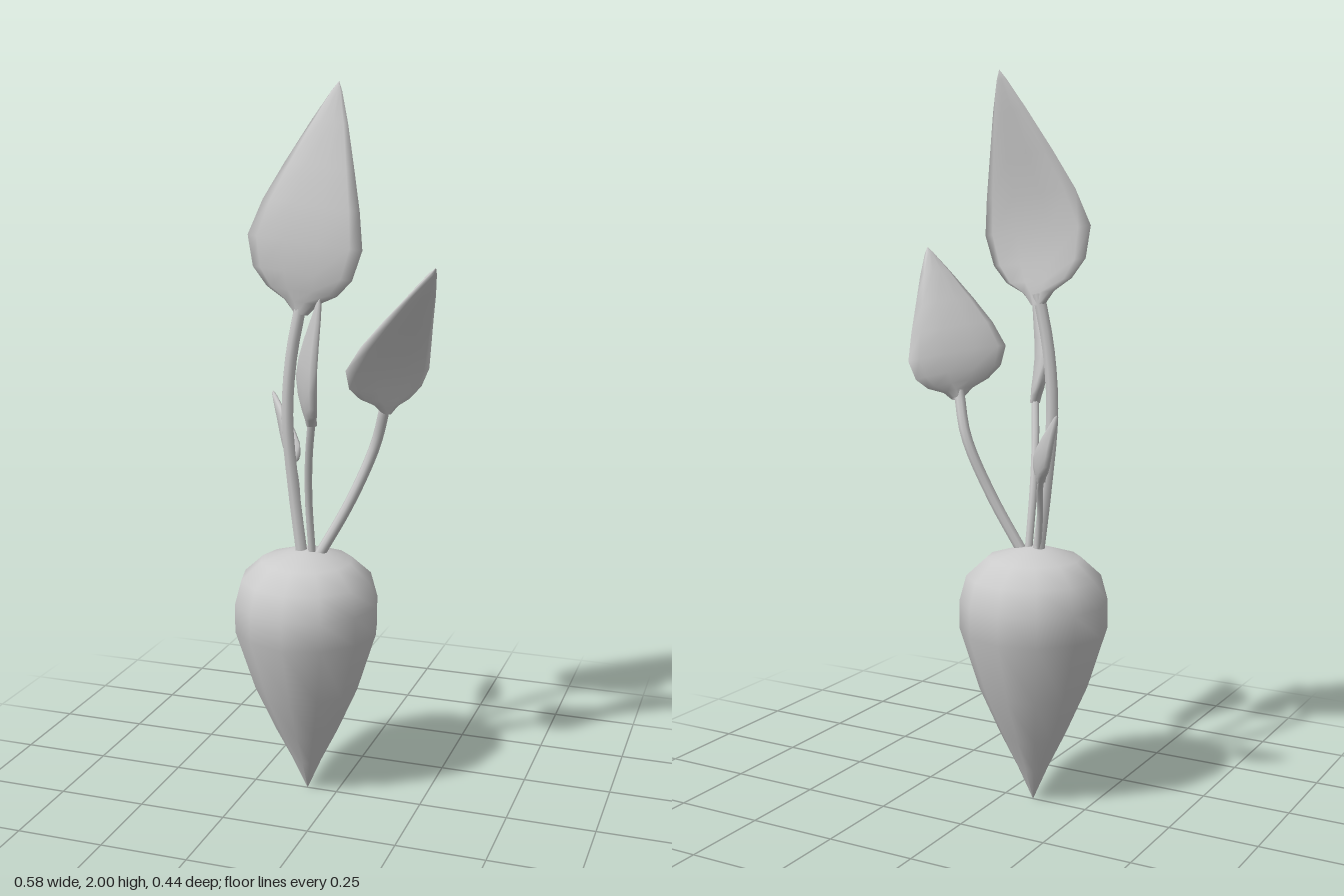
import * as THREE from 'three';

const material = new THREE.MeshStandardMaterial({ color: 0xcccccc, side: THREE.DoubleSide });
const V = (p) => new THREE.Vector3(...p);

function addMesh(group, name, geometry) {
  const mesh = new THREE.Mesh(geometry, material);
  mesh.name = name;
  group.add(mesh);
  return mesh;
}

// Leaf stations: position along the midrib, width factor, thickness factor
const STATIONS = [
  [0, 0.12, 0.8], [0.09, 0.3, 0.85], [0.17, 0.62, 0.95], [0.3, 0.87, 1], [0.5, 1, 1],
  [0.63, 0.84, 0.95], [0.75, 0.6, 0.85], [0.88, 0.31, 0.65], [0.97, 0.09, 0.4], [1, 0, 0],
];
const SIDES = 10;

// Lens-shaped sections lofted from the neck, past the two widest points, to the tip
function leafGeometry({ base, left, right, tip, thickness }) {
  const half = V(right).sub(V(left)).multiplyScalar(0.5);
  const middle = V(left).add(V(right)).multiplyScalar(0.5);
  const midrib = new THREE.CatmullRomCurve3([V(base), middle, V(tip)]);
  const normal = V(tip).sub(V(base)).cross(half).normalize();
  const positions = [], index = [];
  STATIONS.forEach(([t, width, depth], i) => {
    const center = midrib.getPoint(t);
    for (let j = 0; j < SIDES; j++) {
      const a = (j / SIDES) * Math.PI * 2;
      const p = center.clone()
        .addScaledVector(half, width * Math.cos(a))
        .addScaledVector(normal, thickness * depth * Math.sin(a));
      positions.push(p.x, p.y, p.z);
      if (i === 0) continue;
      const k = (j + 1) % SIDES, lo = (i - 1) * SIDES, hi = i * SIDES;
      index.push(lo + j, lo + k, hi + k, lo + j, hi + k, hi + j);
    }
  });
  const geometry = new THREE.BufferGeometry();
  geometry.setAttribute('position', new THREE.Float32BufferAttribute(positions, 3));
  geometry.setIndex(index);
  geometry.computeVertexNormals();
  return geometry;
}

const LEAVES = [
  { name: 'tallLeaf', radius: 0.017, thickness: 0.02,
    stem: [[-0.1, 0.7, 0], [-0.125, 0.9, 0], [-0.14, 1.1, 0.005], [-0.128, 1.27, 0.005], [-0.1, 1.42, 0]],
    base: [-0.1, 1.39, 0], left: [-0.25, 1.6, 0.005], right: [0.085, 1.57, 0.04], tip: [-0.01, 2, -0.053] },
  { name: 'leftLeaf', radius: 0.015, thickness: 0.018,
    stem: [[-0.06, 0.7, 0], [0.03, 0.87, -0.03], [0.095, 1.03, -0.052], [0.13, 1.15, -0.03]],
    base: [0.13, 1.13, -0.035], left: [0.065, 1.265, 0.118], right: [0.22, 1.235, -0.145], tip: [0.292, 1.537, 0.072] },
  { name: 'frontLeaf', radius: 0.011, thickness: 0.018,
    stem: [[-0.07, 0.7, 0], [-0.07, 0.88, 0.03], [-0.055, 1.01, 0.07], [-0.03, 1.13, 0.115]],
    base: [-0.032, 1.11, 0.11], left: [-0.085, 1.24, 0.068], right: [0.012, 1.22, 0.212], tip: [0.027, 1.465, 0.212] },
  { name: 'smallLeaf', radius: 0.009, thickness: 0.014,
    stem: [[-0.1, 0.7, 0], [-0.125, 0.83, -0.035], [-0.145, 0.9, -0.075], [-0.18, 0.96, -0.13]],
    base: [-0.175, 0.935, -0.125], left: [-0.24, 1.02, -0.2], right: [-0.148, 1.0, -0.11], tip: [-0.268, 1.13, -0.218] },
];

export function createModel() {
  const model = new THREE.Group();
  model.name = 'rootVegetable';

  // Tapered root body with a rounded shoulder
  const profile = [
    [0, 0.005], [0.042, 0.1], [0.092, 0.2], [0.15, 0.33], [0.204, 0.5],
    [0.204, 0.58], [0.185, 0.65], [0.13, 0.7], [0.05, 0.725], [0, 0.73],
  ].map(([r, y]) => new THREE.Vector2(r, y));
  addMesh(model, 'root', new THREE.LatheGeometry(profile, 12)).position.x = -0.088;

  // Each sprout is a curved stem carrying one leaf
  for (const leaf of LEAVES) {
    const sprout = new THREE.Group();
    sprout.name = leaf.name;
    const path = new THREE.CatmullRomCurve3(leaf.stem.map(V));
    addMesh(sprout, 'stem', new THREE.TubeGeometry(path, 14, leaf.radius, 8));
    addMesh(sprout, 'blade', leafGeometry(leaf));
    model.add(sprout);
  }
  return model;
}
